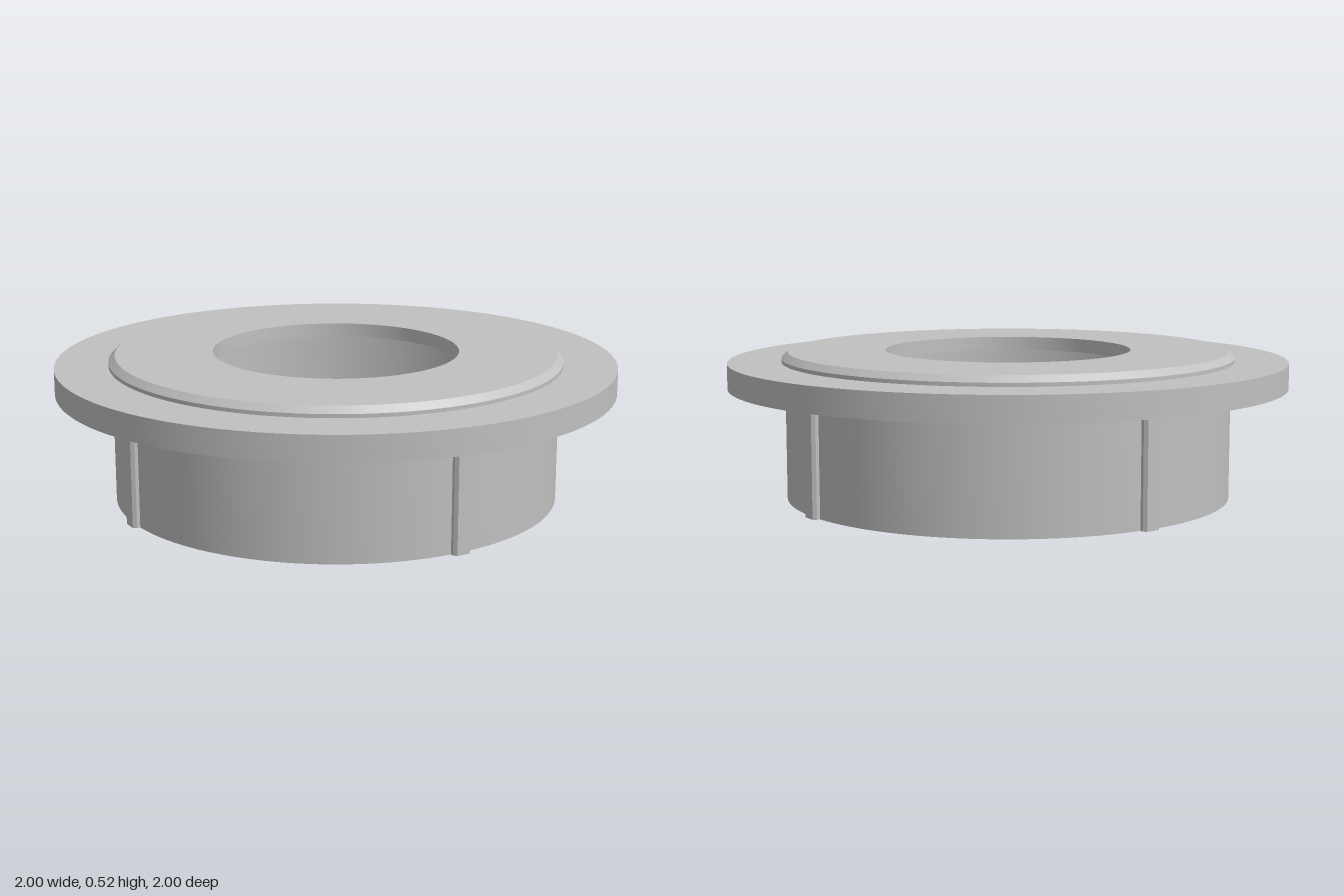
import * as THREE from 'three';
import { toCreasedNormals } from 'three/addons/utils/BufferGeometryUtils.js';

export function createModel() {
  const group = new THREE.Group();
  const grey = new THREE.MeshStandardMaterial({ color: 0xc0c0c0 });
  grey.name = 'plain grey';

  // Closed cross-section: skirt, flange, chamfered lid, bore, inner step
  const profile = [
    [0.797, 0], [0.797, 0.4], [1, 0.4], [1, 0.49],
    [0.81, 0.49], [0.81, 0.503], [0.787, 0.525],
    [0.44, 0.525], [0.44, 0.475],
    [0.708, 0.475], [0.708, 0.4], [0.74, 0.4], [0.74, 0], [0.797, 0],
  ].map(([r, y]) => new THREE.Vector2(r, y));
  const ring = new THREE.Mesh(
    toCreasedNormals(new THREE.LatheGeometry(profile, 128), 0.5), grey);
  ring.name = 'flangedRing';
  group.add(ring);

  // Four chamfered ribs standing on the outside of the skirt
  const section = new THREE.Shape([
    [-0.034, 0.785], [0.034, 0.785], [0.034, 0.808],
    [0.025, 0.82], [-0.025, 0.82], [-0.034, 0.808],
  ].map(([x, y]) => new THREE.Vector2(x, y)));
  const ribGeometry = new THREE.ExtrudeGeometry(section, { depth: 0.4, bevelEnabled: false });
  ribGeometry.rotateX(-Math.PI / 2);
  for (let i = 0; i < 4; i++) {
    const rib = new THREE.Mesh(ribGeometry, grey);
    rib.name = `skirtRib${i + 1}`;
    rib.rotation.y = i * Math.PI / 2;
    group.add(rib);
  }
  return group;
}
